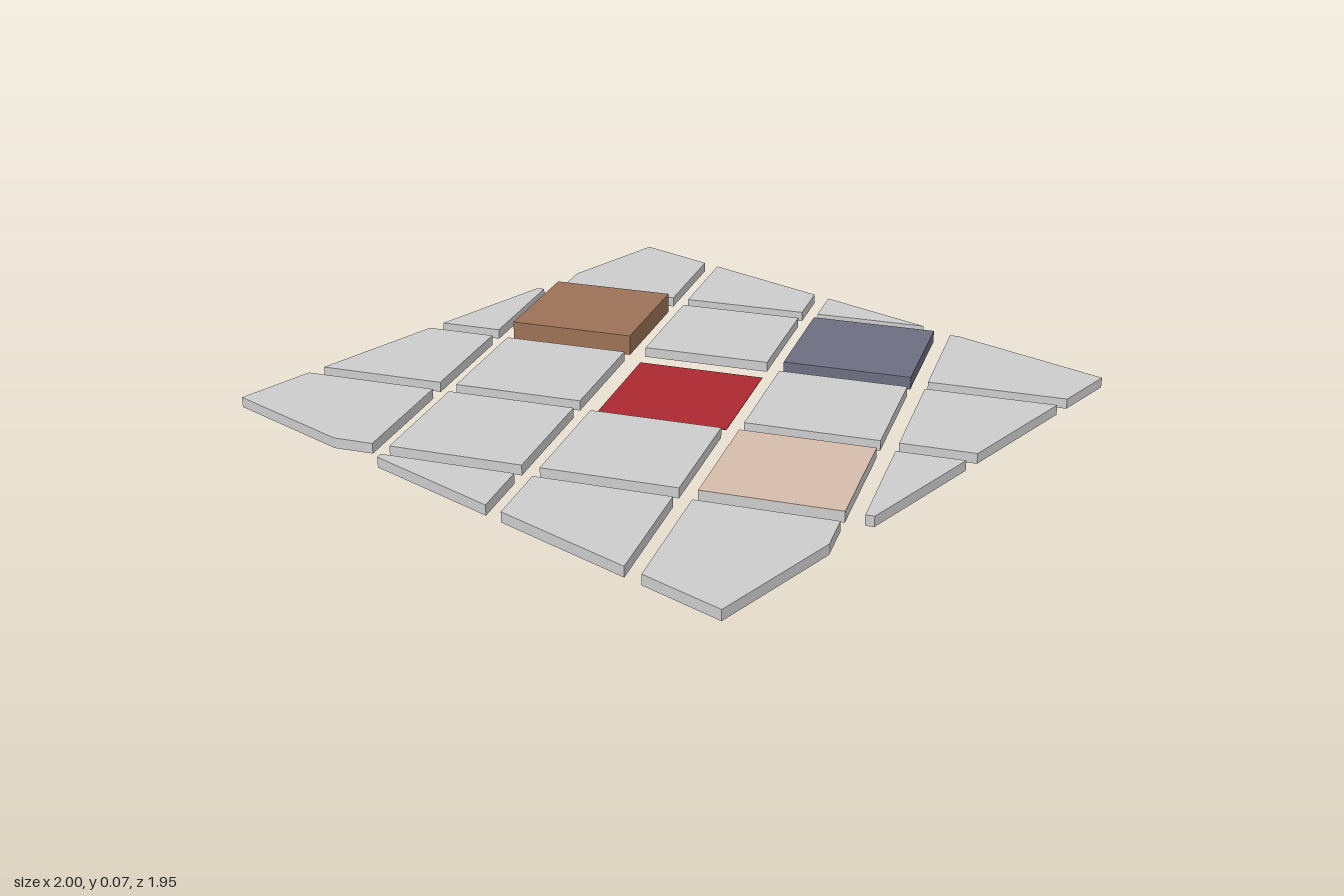
import * as THREE from 'three';

const PITCH = 0.487, HALF = 0.215, ANGLE = THREE.MathUtils.degToRad(23.4);
const LIMIT_X = 1, LIMIT_Z = 0.977, CENTRE_Z = -0.02, SLAB = 0.034;

// Keep the part of a polygon where side(point) >= 0
function clip(points, side) {
  const out = [];
  points.forEach((a, i) => {
    const b = points[(i + 1) % points.length];
    const da = side(a), db = side(b);
    if (da >= 0) out.push(a);
    if (da * db < 0) out.push(a.clone().lerp(b, da / (da - db)));
  });
  return out;
}

// Range of a tile along one grid axis; border tiles run on past the square edge
function range(i) {
  const lo = i === -2 ? -2.5 : i * PITCH - HALF;
  const hi = i === 2 ? 2.5 : i * PITCH + HALF;
  return [lo, hi];
}

// Outline of a tile in the tilted grid, trimmed to the square (shape y = -z)
function outline(i, j) {
  const [u0, u1] = range(i), [v0, v1] = range(j);
  const c = Math.cos(ANGLE), s = Math.sin(ANGLE);
  let pts = [[u0, v0], [u0, v1], [u1, v1], [u1, v0]].map(([u, v]) =>
    new THREE.Vector2(u * c + v * s, u * s - v * c - CENTRE_Z));
  pts = clip(pts, p => p.x + LIMIT_X);
  pts = clip(pts, p => LIMIT_X - p.x);
  pts = clip(pts, p => p.y + LIMIT_Z);
  return clip(pts, p => LIMIT_Z - p.y);
}

export function createModel() {
  const model = new THREE.Group();
  model.name = 'tiledBlocks';
  const grey = new THREE.MeshStandardMaterial({ color: 0xcccccc });

  function addTile(name, i, j, bottom, height, material) {
    const geometry = new THREE.ExtrudeGeometry(new THREE.Shape(outline(i, j)),
      { depth: height, bevelEnabled: false });
    geometry.rotateX(-Math.PI / 2);
    geometry.translate(0, bottom, 0);
    const mesh = new THREE.Mesh(geometry, material);
    mesh.name = name;
    model.add(mesh);
  }

  // Coloured tiles: two raised blocks, a sunken thin one and a thin cover
  const special = [
    ['brownBlock', -1, -1, 0, 0.07, 0x9c7257],
    ['blueBlock', 1, -1, 0, 0.043, 0x6c6e80],
    ['redFloor', 0, 0, 0, 0.002, 0xac2830],
    ['tanCover', 1, 1, SLAB, 0.002, 0xd5bcac],
  ];
  for (const [name, i, j, bottom, height, color] of special) {
    addTile(name, i, j, bottom, height, new THREE.MeshStandardMaterial({ color }));
  }

  // Grey slabs everywhere else, leaving out the four far corners of the grid
  for (let i = -2; i <= 2; i++) {
    for (let j = -2; j <= 2; j++) {
      if (Math.abs(i) === 2 && Math.abs(j) === 2) continue;
      if (special.some(t => t[1] === i && t[2] === j && t[3] === 0)) continue;
      addTile('greySlab', i, j, 0, SLAB, grey);
    }
  }
  return model;
}
